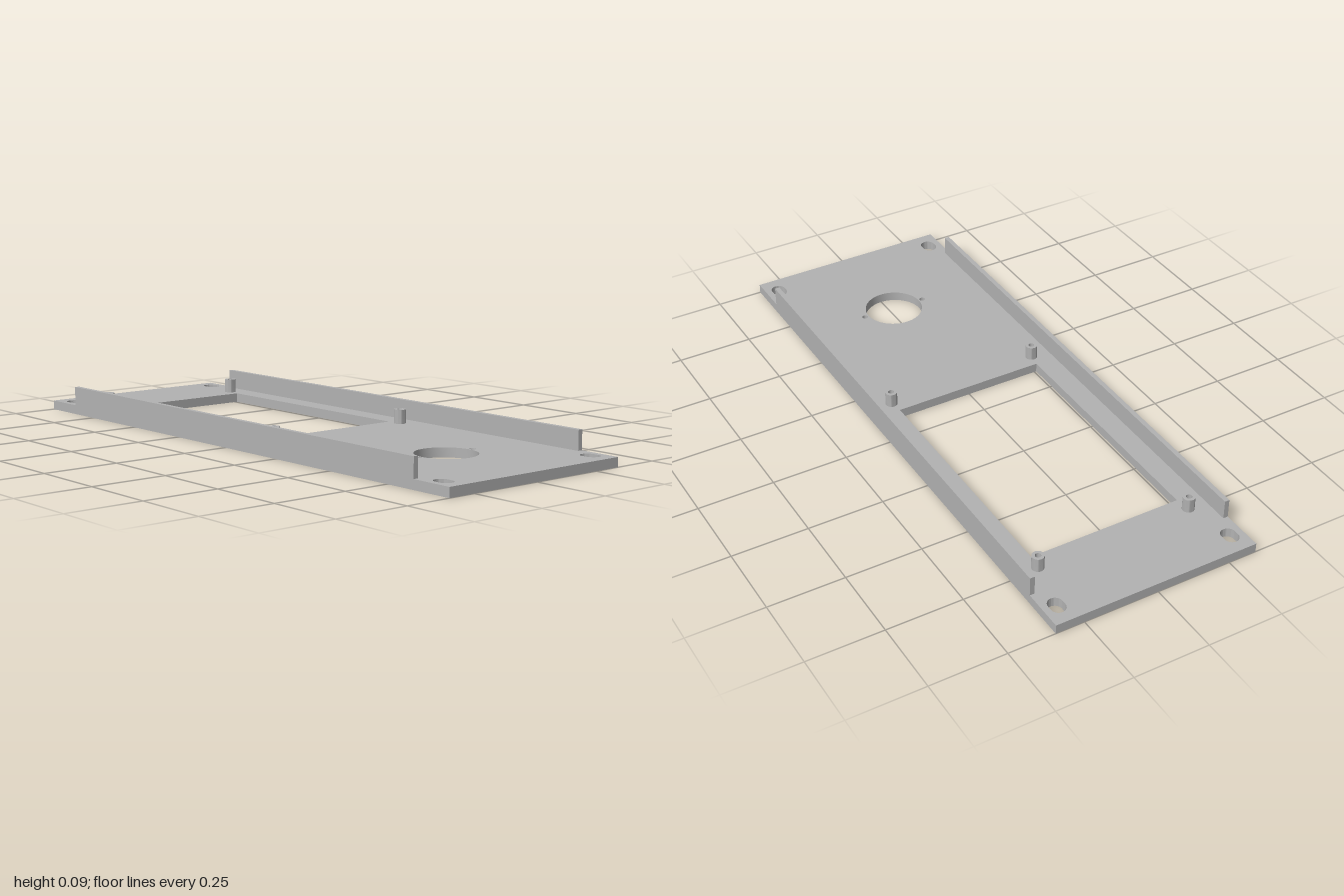
import * as THREE from 'three';
import { toCreasedNormals } from 'three/addons/utils/BufferGeometryUtils.js';

const PLATE_H = 0.031, HALF_Z = 0.345;

function circleHole(x, z, r) {
  return new THREE.Path().absarc(x, z, r, 0, Math.PI * 2, true);
}

// Stadium-shaped mounting slot, long along x
function slotHole(x, z, halfLength, r) {
  const d = halfLength - r;
  const p = new THREE.Path();
  p.absarc(x + d, z, r, -Math.PI / 2, Math.PI / 2, false);
  p.absarc(x - d, z, r, Math.PI / 2, Math.PI * 1.5, false);
  p.closePath();
  return p;
}

function rectPath(path, x0, x1, z0, z1) {
  path.moveTo(x0, z0).lineTo(x1, z0).lineTo(x1, z1).lineTo(x0, z1).closePath();
  return path;
}

export function createModel() {
  const group = new THREE.Group();
  const grey = new THREE.MeshStandardMaterial({ color: 0xb3b3b3 });
  grey.name = 'panelGrey';

  const add = (name, geometry, x = 0, y = 0, z = 0) => {
    const mesh = new THREE.Mesh(geometry, grey);
    mesh.name = name;
    mesh.position.set(x, y, z);
    group.add(mesh);
  };

  // Face plate with display window, round opening, screw holes and slots
  const plate = rectPath(new THREE.Shape(), -1, 1, -HALF_Z, HALF_Z);
  plate.holes.push(rectPath(new THREE.Path(), -0.72, 0.098, -0.257, 0.257));
  plate.holes.push(circleHole(0.632, 0, 0.098));
  for (const s of [-1, 1]) {
    plate.holes.push(circleHole(0.632, s * 0.112, 0.01));
    for (const t of [-1, 1]) plate.holes.push(slotHole(s * 0.931, t * 0.3, 0.032, 0.024));
  }
  const plateGeometry = new THREE.ExtrudeGeometry(plate, { depth: PLATE_H, bevelEnabled: false, curveSegments: 24 });
  plateGeometry.rotateX(-Math.PI / 2);
  add('facePlate', toCreasedNormals(plateGeometry, 0.6));

  // Upright flanges along the long edges
  const flangeH = 0.095 - PLATE_H, flangeT = 0.016;
  for (const [name, s] of [['frontFlange', 1], ['backFlange', -1]]) {
    add(name, new THREE.BoxGeometry(1.717, flangeH, flangeT), 0, PLATE_H + flangeH / 2, s * (HALF_Z - flangeT / 2));
  }

  // Hollow standoffs around the window
  const postH = 0.0775 - PLATE_H, outer = 0.0194, bore = 0.0095;
  const profile = [[0, 0], [outer, 0], [outer, postH], [bore, postH], [bore, 0.001], [0, 0.001]]
    .map(([r, y]) => new THREE.Vector2(r, y));
  const post = toCreasedNormals(new THREE.LatheGeometry(profile, 32), 0.6);
  for (const x of [-0.769, 0.143]) {
    for (const z of [-0.264, 0.264]) add('standoff', post, x, PLATE_H, z);
  }

  return group;
}
